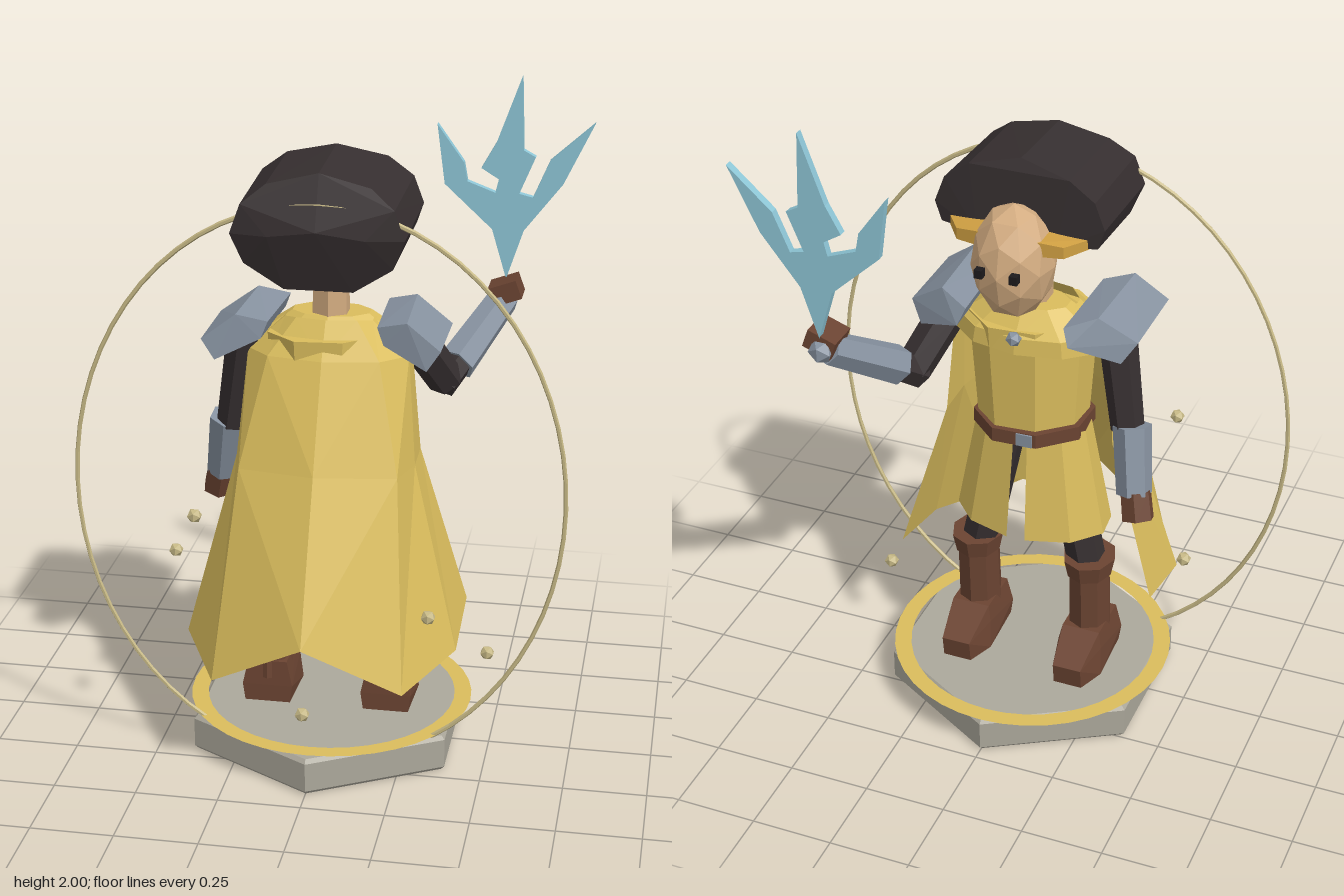
import * as THREE from 'three';
import { ConvexGeometry } from 'three/addons/geometries/ConvexGeometry.js';

const V = (x, y, z) => new THREE.Vector3(x, y, z);

export function createModel() {
  const model = new THREE.Group();
  const mat = (name, color, side = THREE.FrontSide) =>
    new THREE.MeshStandardMaterial({ name, color, side, flatShading: true });
  const gold = mat('goldCloth', 0xdabd5d, THREE.DoubleSide);
  const trim = mat('trimGold', 0xcf9f42);
  const dark = mat('darkHair', 0x362f30);
  const skin = mat('skin', 0xd2ab80);
  const steel = mat('steel', 0x8792a0);
  const leather = mat('leather', 0x6b4432);
  const stone = mat('stone', 0xaca89b);
  const ice = mat('iceBlue', 0x8ec6d6);
  const brass = mat('paleBrass', 0xc6b885);
  const black = mat('eyeBlack', 0x1c1a1c);

  const add = (name, geo, material, pos = [0, 0, 0], scale = [1, 1, 1]) => {
    const m = new THREE.Mesh(geo, material);
    m.name = name;
    m.position.set(...pos);
    m.scale.set(...scale);
    model.add(m);
    return m;
  };
  // tapered faceted rod between two points
  const limb = (name, a, b, ra, rb, material, sides = 6) => {
    const p = V(...a), d = V(...b).sub(p);
    const m = add(name, new THREE.CylinderGeometry(rb, ra, d.length(), sides), material);
    m.position.copy(p).addScaledVector(d, 0.5);
    m.quaternion.setFromUnitVectors(V(0, 1, 0), d.normalize());
    return m;
  };
  const hull = (name, pts, material) => add(name, new ConvexGeometry(pts.map(p => V(...p))), material);
  // open sheet through rows of points, with mirrored diagonals
  const sheet = (name, rows, material) => {
    const n = rows[0].length, idx = [];
    for (let r = 0; r < rows.length - 1; r++)
      for (let c = 0; c < n - 1; c++) {
        const a = r * n + c, b = a + 1, d = a + n, e = d + 1;
        if (c < (n - 1) / 2) idx.push(a, d, e, a, e, b);
        else idx.push(a, d, b, b, d, e);
      }
    const g = new THREE.BufferGeometry();
    g.setAttribute('position', new THREE.Float32BufferAttribute(rows.flat(2), 3));
    g.setIndex(idx);
    g.computeVertexNormals();
    return add(name, g, material);
  };

  // plinth and the flat ring lying on it
  const plinth = [[0, 0], [0.435, 0], [0.447, 0.012], [0.447, 0.103], [0.435, 0.115], [0, 0.115]];
  add('plinth', new THREE.LatheGeometry(plinth.map(p => new THREE.Vector2(...p)), 6), stone, [0, 0, -0.02]);
  add('groundRing', new THREE.RingGeometry(0.385, 0.437, 40), gold, [0, 0.124, -0.03]).rotation.x = -Math.PI / 2;

  // tall oval hoop and floating orbs
  add('hoop', new THREE.TorusGeometry(1, 0.009, 6, 64), brass, [0, 0.88, 0.21], [0.725, 0.87, 0.8]);
  [[-0.49, 0.56, -0.03], [0.485, 0.29, -0.03], [-0.345, 0.83, 0.315], [0.345, 0.56, 0.315], [0, 0.29, 0.465]]
    .forEach(p => add('orb', new THREE.IcosahedronGeometry(0.023, 0), brass, p));

  // legs, boots, pauldrons, ear wings and eyes on both sides
  for (const s of [-1, 1]) {
    const x = 0.185 * s;
    limb('trouserLeg', [x, 0.42, -0.02], [0.085 * s, 0.9, -0.01], 0.06, 0.06, dark);
    limb('bootShaft', [x, 0.19, -0.005], [x, 0.46, -0.02], 0.066, 0.064, leather, 8).scale.z = 1.22;
    limb('bootCuff', [x, 0.43, -0.02], [x, 0.49, -0.02], 0.07, 0.082, leather, 8).scale.z = 1.15;
    const foot = [];
    for (const d of [-1, 1]) foot.push(
      [x + 0.07 * d, 0.115, 0.07], [x + 0.078 * d, 0.115, -0.12], [x + 0.045 * d, 0.115, -0.205],
      [x + 0.045 * d, 0.185, -0.215], [x + 0.07 * d, 0.2, -0.1], [x + 0.06 * d, 0.25, -0.09],
      [x + 0.078 * d, 0.17, 0.07], [x + 0.06 * d, 0.25, 0.065]);
    hull('bootFoot', foot, leather);

    hull('pauldron', [
      [0.16, 1.375, 0.13], [0.25, 1.4, 0.155], [0.35, 1.325, 0.17], [0.31, 1.265, 0.175], [0.18, 1.325, 0.14],
      [0.15, 1.37, -0.17], [0.24, 1.4, -0.13], [0.35, 1.325, -0.1], [0.31, 1.265, -0.13], [0.17, 1.32, -0.19],
    ].map(([a, b, c]) => [a * s, b, c]), steel);

    hull('earWing', [
      [0.08, 1.61, -0.215], [0.08, 1.655, -0.215], [0.08, 1.61, -0.13], [0.08, 1.655, -0.13],
      [0.21, 1.615, -0.13], [0.21, 1.645, -0.13], [0.16, 1.61, -0.2], [0.16, 1.645, -0.2],
    ].map(([a, b, c]) => [a * s, b, c]), trim);
    add('eye', new THREE.BoxGeometry(0.024, 0.026, 0.024), black, [0.052 * s, 1.573, -0.295]);
  }

  // tunic: chest, belt, buckle and flared skirt with a front slit
  add('chest', new THREE.CylinderGeometry(0.19, 0.165, 0.37, 8), gold, [0, 1.135, -0.015], [1, 1, 0.8]).rotation.y = Math.PI / 8;
  add('belt', new THREE.CylinderGeometry(0.182, 0.182, 0.045, 8), leather, [0, 0.955, -0.01], [1, 1, 0.88]).rotation.y = Math.PI / 8;
  add('buckle', new THREE.BoxGeometry(0.05, 0.04, 0.02), steel, [-0.025, 0.955, -0.155]);
  add('skirt', new THREE.CylinderGeometry(0.178, 0.245, 0.35, 10, 1, true, Math.PI + 0.12, Math.PI * 2 - 0.24),
    gold, [0, 0.775, -0.01], [1, 1, 0.66]);

  // shoulder mantle with clasp
  add('mantle', new THREE.CylinderGeometry(0.12, 0.225, 0.07, 10), gold, [0, 1.335, -0.035], [1, 1, 0.6]);
  add('mantleRim', new THREE.CylinderGeometry(0.225, 0.235, 0.05, 10), gold, [0, 1.277, -0.035], [1, 1, 0.6]);
  add('clasp', new THREE.IcosahedronGeometry(0.024, 0), steel, [0, 1.305, -0.175]);

  // cape, mirrored from one half
  const mirrored = half => [...half.map(([x, y, z]) => [-x, y, z]), ...half.slice(0, -1).reverse()];
  sheet('cape', [
    [[0.13, 1.36, -0.03], [0.13, 1.36, 0.02], [0.09, 1.37, 0.06], [0, 1.37, 0.075]],
    [[0.24, 1.26, -0.04], [0.24, 1.26, 0.03], [0.165, 1.265, 0.115], [0, 1.265, 0.145]],
    [[0.265, 0.94, -0.06], [0.268, 0.94, 0.08], [0.235, 0.945, 0.212], [0, 0.96, 0.285]],
    [[0.41, 0.44, -0.1], [0.41, 0.385, 0.16], [0.283, 0.345, 0.405], [0, 0.505, 0.49]],
  ].map(mirrored), gold);

  // neck and head
  limb('neck', [0, 1.33, -0.02], [0, 1.46, -0.02], 0.06, 0.056, skin);
  add('head', new THREE.IcosahedronGeometry(1, 1), skin, [0, 1.56, -0.165], [0.122, 0.175, 0.135]);

  // bulky hair: a rim above the face swelling to the back
  const hair = [[0, 1.85, -0.11], [0, 1.835, 0.18], [0, 1.68, 0.247], [0.14, 1.66, 0.238], [-0.14, 1.66, 0.238]];
  for (const s of [-1, 1]) {
    [[0.15, 1.815], [0.225, 1.76], [0.255, 1.68], [0.235, 1.62]].forEach(([x, y]) => hair.push([x * s, y, -0.13]));
    hair.push([0.12 * s, 1.61, -0.145], [0.15 * s, 1.8, 0.19], [0.22 * s, 1.745, 0.215],
      [0.25 * s, 1.66, 0.22], [0.215 * s, 1.57, 0.2], [0.1 * s, 1.495, 0.19]);
  }
  hull('hair', hair, dark);

  // lowered arm
  limb('loweredUpperArm', [-0.25, 1.31, 0], [-0.305, 0.99, -0.04], 0.058, 0.05, dark);
  limb('loweredBracer', [-0.32, 1.01, -0.045], [-0.35, 0.81, -0.1], 0.058, 0.053, steel);
  limb('loweredHand', [-0.355, 0.82, -0.1], [-0.373, 0.74, -0.125], 0.048, 0.05, leather);

  // raised arm
  limb('raisedUpperArm', [0.24, 1.31, -0.03], [0.325, 1.125, -0.165], 0.058, 0.056, dark);
  limb('raisedElbow', [0.31, 1.115, -0.15], [0.37, 1.185, -0.24], 0.053, 0.048, dark);
  limb('raisedBracer', [0.35, 1.16, -0.21], [0.468, 1.31, -0.42], 0.06, 0.05, steel);
  add('raisedHand', new THREE.BoxGeometry(0.09, 0.06, 0.1), leather, [0.475, 1.34, -0.413]).rotation.z = 0.35;
  add('gripKnob', new THREE.IcosahedronGeometry(0.04, 0), steel, [0.47, 1.32, -0.455]);

  // jagged flat shard held in the raised hand
  const shard = new THREE.Shape([
    [0.47, 1.365], [0.52, 1.52], [0.635, 1.67], [0.725, 1.86], [0.593, 1.74], [0.545, 1.625], [0.503, 1.635],
    [0.55, 1.75], [0.513, 1.77], [0.503, 1.995], [0.43, 1.79], [0.386, 1.71], [0.44, 1.677], [0.43, 1.635],
    [0.344, 1.667], [0.333, 1.725], [0.25, 1.84], [0.275, 1.656], [0.423, 1.52],
  ].map(p => new THREE.Vector2(...p)));
  add('shard', new THREE.ExtrudeGeometry(shard, { depth: 0.024, bevelEnabled: false }), ice, [0, 0, -0.465]);

  return model;
}
